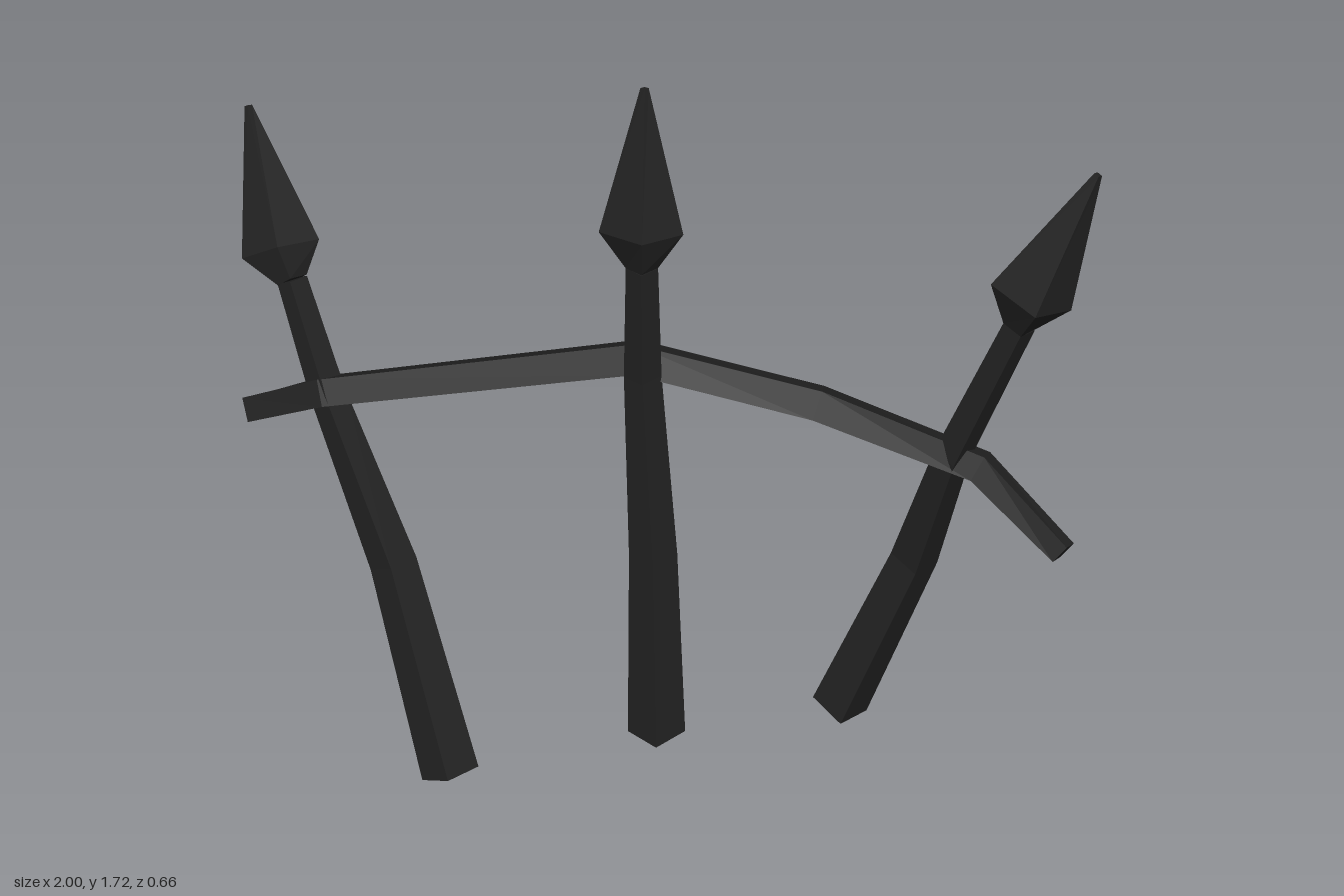
import * as THREE from 'three';

const iron = new THREE.MeshStandardMaterial({ color: 0x222222, flatShading: true });

// Four-sided bar swept through stations [x, y, z, halfWidth, halfDepth]
function sweep(name, stations, side, twist) {
  const centres = stations.map(s => new THREE.Vector3(s[0], s[1], s[2]));
  const rings = stations.map((s, i) => {
    const t = centres[Math.min(i + 1, centres.length - 1)].clone()
      .sub(centres[Math.max(i - 1, 0)]).normalize();
    const u = side.clone().addScaledVector(t, -side.dot(t)).normalize();
    const v = new THREE.Vector3().crossVectors(t, u);
    const a = s[3], b = s[4] ?? s[3];
    return [0, 1, 2, 3].map(k => {
      const ang = twist + k * Math.PI / 2;
      return centres[i].clone()
        .addScaledVector(u, a * Math.cos(ang)).addScaledVector(v, b * Math.sin(ang));
    });
  });
  const pos = [];
  const quad = (a, b, c, d) => [a, b, c, a, c, d].forEach(p => pos.push(p.x, p.y, p.z));
  for (let i = 0; i < rings.length - 1; i++) {
    for (let k = 0; k < 4; k++) {
      const n = (k + 1) % 4;
      quad(rings[i][k], rings[i][n], rings[i + 1][n], rings[i + 1][k]);
    }
  }
  const [a, b, c, d] = rings[0];
  quad(d, c, b, a);
  quad(...rings[rings.length - 1]);
  const geo = new THREE.BufferGeometry();
  geo.setAttribute('position', new THREE.Float32BufferAttribute(pos, 3));
  geo.computeVertexNormals();
  const mesh = new THREE.Mesh(geo, iron);
  mesh.name = name;
  return mesh;
}

// Each post: tapering bent shaft up to the neck, then the head's widest point and tip
const posts = [
  { name: 'rightPost',
    shaft: [[-0.41, 0.035, 0.265, 0.07], [-0.58, 0.5, 0.075, 0.057],
      [-0.755, 0.88, -0.05, 0.043], [-0.85, 1.13, -0.135, 0.036]],
    wide: [-0.885, 1.19, -0.17], tip: [-0.99, 1.475, -0.325] },
  { name: 'middlePost',
    shaft: [[0.052, 0.055, 0.037, 0.07], [0.035, 0.56, 0, 0.057],
      [0.003, 1.03, -0.035, 0.043], [0, 1.31, -0.04, 0.036]],
    wide: [-0.003, 1.395, -0.045], tip: [-0.007, 1.72, -0.105] },
  { name: 'leftPost',
    shaft: [[0.48, 0.075, -0.13, 0.07], [0.64, 0.56, -0.105, 0.057],
      [0.715, 0.9, -0.05, 0.043], [0.84, 1.27, -0.018, 0.036]],
    wide: [0.86, 1.35, -0.01], tip: [0.975, 1.66, -0.01] },
];

export function createModel() {
  const model = new THREE.Group();
  model.name = 'brokenFence';
  const xAxis = new THREE.Vector3(1, 0, 0);

  for (const p of posts) {
    const post = new THREE.Group();
    post.name = p.name;
    post.add(sweep('shaft', p.shaft, xAxis, 0.17));
    const neck = p.shaft[p.shaft.length - 1];
    // Spear head, a little flatter front to back
    post.add(sweep('spearHead', [neck, [...p.wide, 0.094, 0.075], [...p.tip, 0.009]], xAxis, 0.17));
    model.add(post);
  }

  // Bent rail joining the posts
  model.add(sweep('rail', [
    [-0.96, 0.785, -0.095, 0.042], [-0.76, 0.89, -0.045, 0.046], [-0.02, 1.05, -0.08, 0.05],
    [0.4, 0.965, -0.1, 0.05], [0.78, 0.88, -0.04, 0.045], [0.985, 0.75, 0.075, 0.034],
  ], new THREE.Vector3(0, 1, 0), 0.4));

  return model;
}
